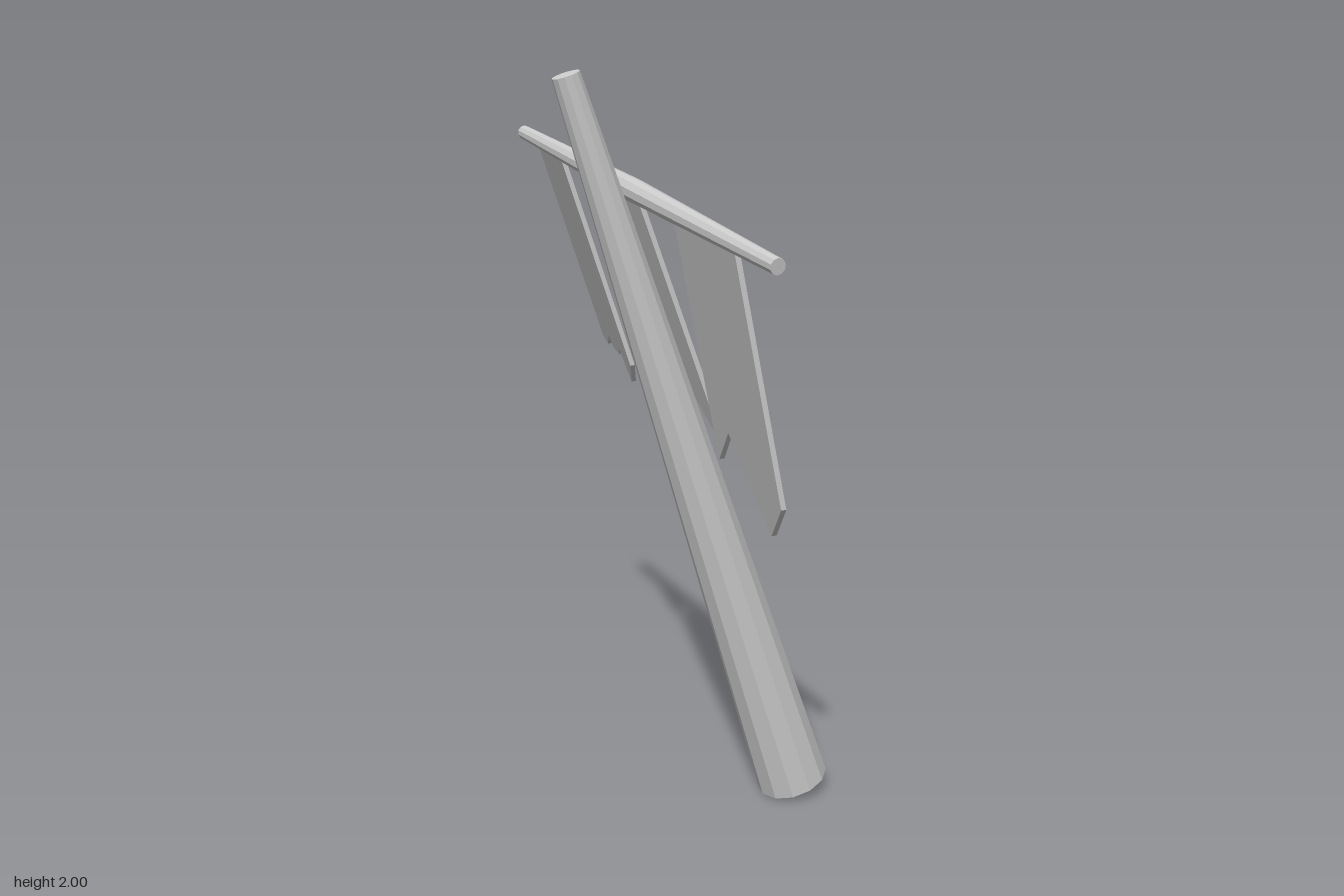
import * as THREE from 'three';

const material = new THREE.MeshStandardMaterial({ color: 0xcccccc, flatShading: true });

function addMesh(group, name, geometry) {
  const mesh = new THREE.Mesh(geometry, material);
  mesh.name = name;
  group.add(mesh);
  return mesh;
}

// Round faceted rod between two points; radii are spaced evenly along it
function rod(from, to, radii, sides) {
  const axis = to.clone().sub(from);
  const length = axis.length();
  const profile = radii.map((r, i) => new THREE.Vector2(r, (length * i) / (radii.length - 1)));
  profile.unshift(new THREE.Vector2(0, 0));
  profile.push(new THREE.Vector2(0, length));
  const geometry = new THREE.LatheGeometry(profile, sides);
  const turn = new THREE.Quaternion().setFromUnitVectors(new THREE.Vector3(0, 1, 0), axis.normalize());
  return geometry.applyQuaternion(turn).translate(from.x, from.y, from.z);
}

// Thin cloth cut from a (z, y) outline, leaning so that x = x0 + lean * (y - y0) + twist * (z - z0)
function cloth(outline, [x0, y0, z0], lean, twist) {
  const thickness = 0.014;
  const shape = new THREE.Shape(outline.map(([z, y]) => new THREE.Vector2(-z, y)));
  const geometry = new THREE.ExtrudeGeometry(shape, { depth: thickness, bevelEnabled: false });
  geometry.rotateY(Math.PI / 2);
  const p = geometry.attributes.position;
  for (let i = 0; i < p.count; i++) {
    const shift = x0 + lean * (p.getY(i) - y0) + twist * (p.getZ(i) - z0);
    p.setX(i, p.getX(i) - thickness + shift);
  }
  geometry.computeVertexNormals();
  return geometry;
}

export function createModel() {
  const group = new THREE.Group();
  group.name = 'leaningBannerPole';

  // Leaning, tapered pole
  addMesh(group, 'pole', rod(
    new THREE.Vector3(0.292, 0.034, 0.02), new THREE.Vector3(-0.36, 1.989, 0.02), [0.1, 0.035], 12));

  // Sloping crossbar, thickest in the middle
  addMesh(group, 'crossbar', rod(
    new THREE.Vector3(-0.18, 1.617, 0.7), new THREE.Vector3(-0.18, 1.806, -0.7), [0.019, 0.03, 0.019], 10));

  // Wide swallow-tailed banner
  addMesh(group, 'frontBanner', cloth([
    [0.53, 1.64], [0.56, 1.03], [0.476, 0.94], [0.307, 1.155], [0.217, 1.065], [0.185, 1.68],
  ], [-0.04, 1.065, 0.217], -0.19, -0.095));

  // Torn middle banner
  addMesh(group, 'middleBanner', cloth([
    [-0.005, 1.7], [0.021, 1.129], [0.005, 1.06], [-0.058, 1.171], [-0.106, 1.155], [-0.138, 1.113],
    [-0.159, 1.145], [-0.196, 1.134], [-0.222, 1.155], [-0.238, 1.735],
  ], [0.068, 1.06, 0.005], -0.35, 0.02));

  // Torn narrow banner
  addMesh(group, 'backBanner', cloth([
    [-0.43, 1.765], [-0.407, 1.176], [-0.455, 1.118], [-0.476, 1.214], [-0.497, 1.192], [-0.54, 1.203],
    [-0.556, 1.235], [-0.598, 1.203], [-0.624, 1.219], [-0.65, 1.795],
  ], [0.015, 1.176, -0.407], -0.33, -0.15));

  return group;
}
